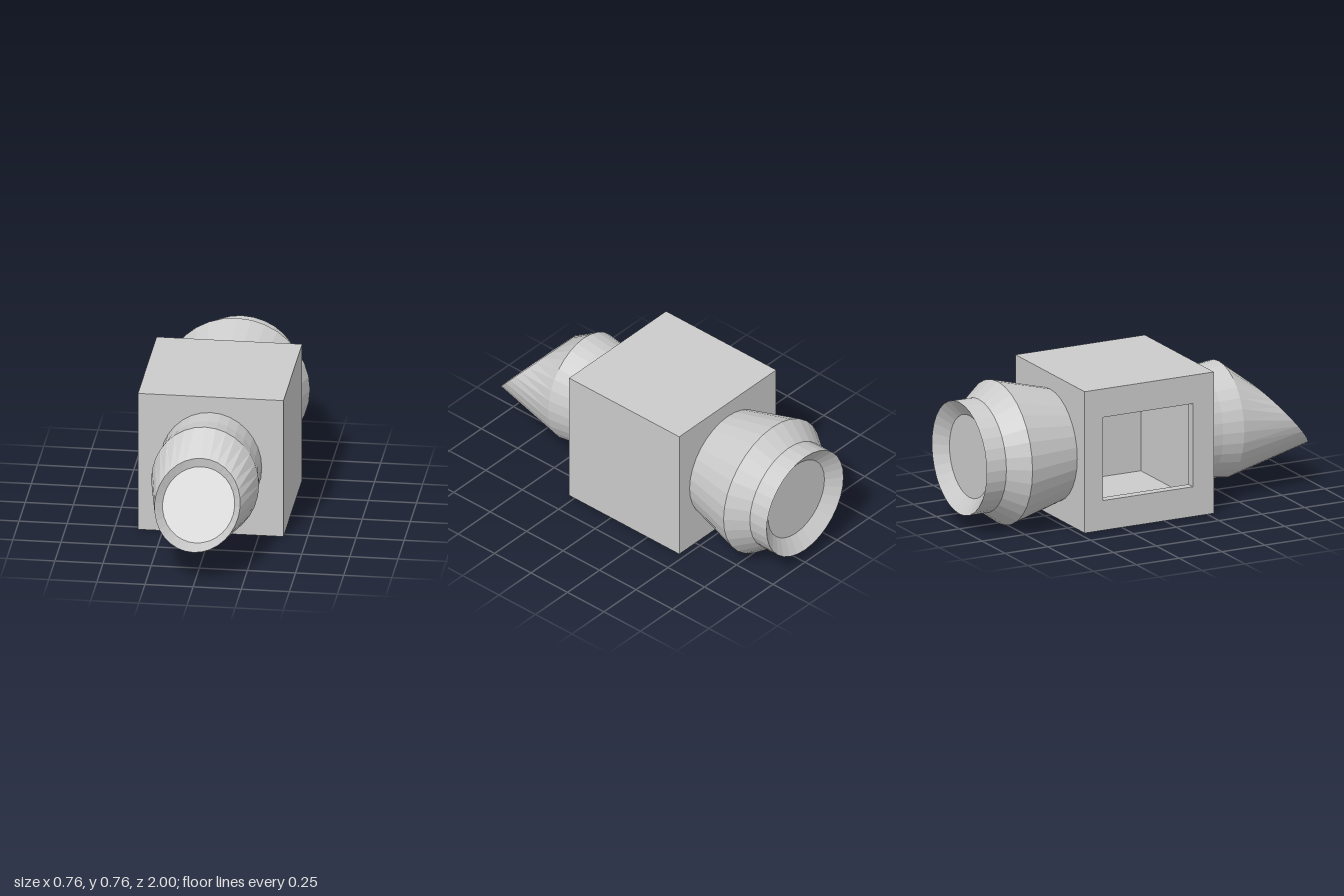
import * as THREE from 'three';

const SEGMENTS = 32;
const material = new THREE.MeshStandardMaterial({ color: 0xcccccc, flatShading: true });

// Skins elliptical rings listed from back to front; lean shifts the ring's top along z.
function loft(name, rings) {
  const points = [], faces = [];
  for (const { z, y = 0.383, rx, ry = rx, lean = 0 } of rings) {
    for (let j = 0; j < SEGMENTS; j++) {
      const a = (j / SEGMENTS) * Math.PI * 2;
      points.push(rx * Math.cos(a), y + ry * Math.sin(a), z + lean * Math.sin(a));
    }
  }
  for (let i = 0; i < rings.length - 1; i++) {
    for (let j = 0; j < SEGMENTS; j++) {
      const k = (j + 1) % SEGMENTS;
      const a = i * SEGMENTS + j, b = i * SEGMENTS + k;
      const c = b + SEGMENTS, d = a + SEGMENTS;
      if (rings[i].rx > 0) faces.push(a, b, c, c, d, a);
      else faces.push(a, c, d);
    }
  }
  const indexed = new THREE.BufferGeometry();
  indexed.setAttribute('position', new THREE.Float32BufferAttribute(points, 3));
  indexed.setIndex(faces);
  const geometry = indexed.toNonIndexed();
  geometry.computeVertexNormals();
  const mesh = new THREE.Mesh(geometry, material);
  mesh.name = name;
  return mesh;
}

// Rectangle in the side plane: shape x is world z.
function rectangle(Type, z0, z1, y0, y1) {
  return new Type([[z0, y0], [z1, y0], [z1, y1], [z0, y1]].map(([z, y]) => new THREE.Vector2(z, y)));
}

// Slab of the body, spanning x0 to x1, with an optional rectangular opening.
function slab(name, x0, x1, opening) {
  const shape = rectangle(THREE.Shape, -0.47, 0.285, 0.005, 0.765);
  if (opening) shape.holes.push(rectangle(THREE.Path, ...opening));
  const geometry = new THREE.ExtrudeGeometry(shape, { depth: x1 - x0, bevelEnabled: false });
  geometry.rotateY(-Math.PI / 2).translate(x1, 0, 0);
  const mesh = new THREE.Mesh(geometry, material);
  mesh.name = name;
  return mesh;
}

export function createModel() {
  const model = new THREE.Group();
  model.name = 'windowedCubeModule';

  // Hollow cube with a window in its right-hand wall
  const body = new THREE.Group();
  body.name = 'hollowBody';
  body.add(
    slab('leftWall', 0.328, 0.378),
    slab('bodyShell', -0.328, 0.328, [-0.42, 0.235, 0.055, 0.715]),
    slab('windowWall', -0.378, -0.328, [-0.363, 0.162, 0.165, 0.612]),
  );
  model.add(body);

  // Flared rear collar with a recessed end
  model.add(loft('rearCollar', [
    { z: -0.94, rx: 0 },
    { z: -0.94, rx: 0.22 },
    { z: -1, rx: 0.3 },
    { z: -0.885, rx: 0.3 },
    { z: -0.775, rx: 0.38 },
    { z: -0.46, rx: 0.295 },
  ]));

  // Front nose with a slanted, recessed mouth
  model.add(loft('frontNose', [
    { z: 0.275, rx: 0.265, ry: 0.295 },
    { z: 0.4, rx: 0.265, ry: 0.295 },
    { z: 0.515, rx: 0.28, ry: 0.31 },
    { z: 0.83, y: 0.387, rx: 0.222, ry: 0.192, lean: -0.17 },
    { z: 0.775, y: 0.367, rx: 0.187, ry: 0.163, lean: -0.12 },
    { z: 0.775, y: 0.367, rx: 0 },
  ]));

  return model;
}
